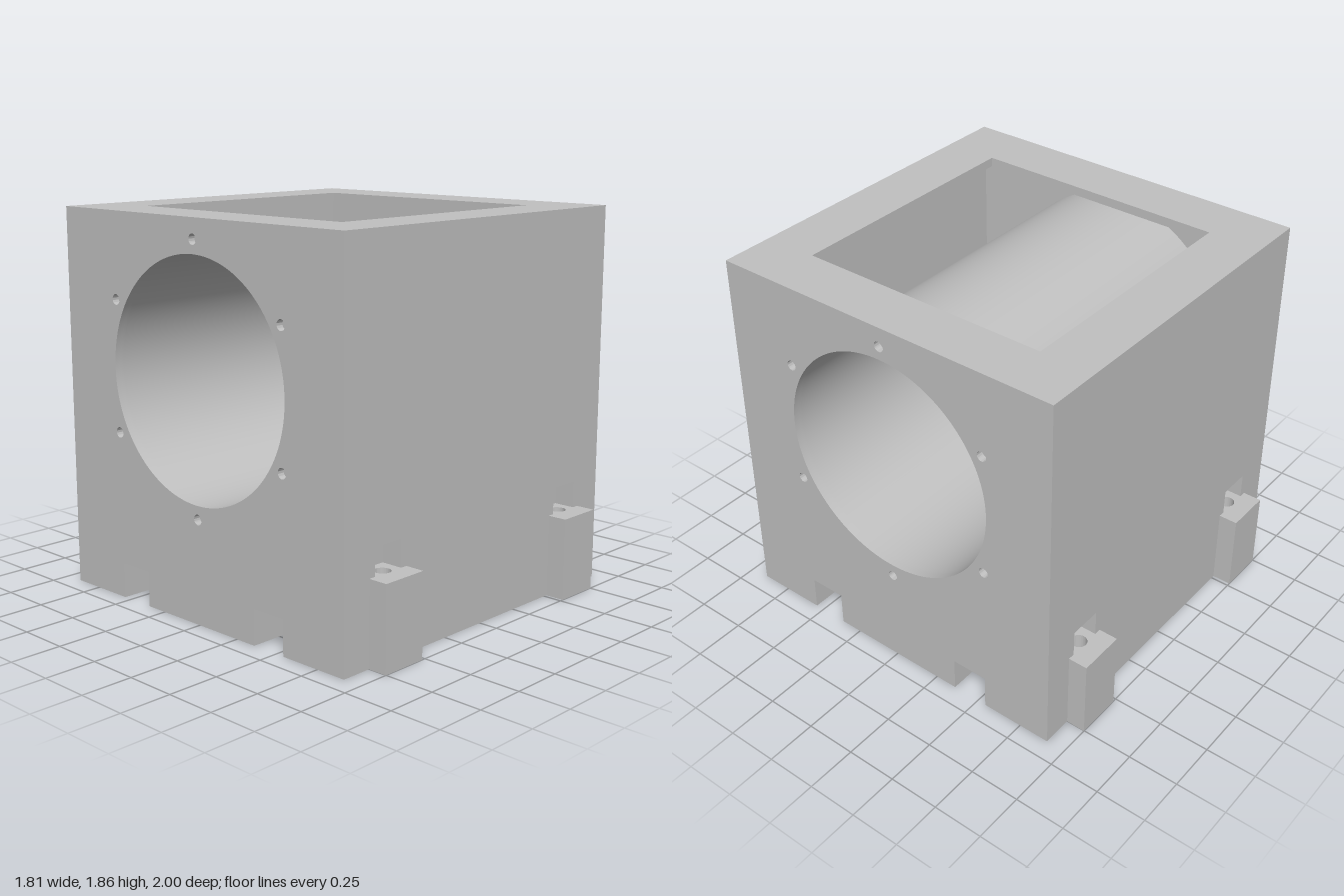
import * as THREE from 'three';
import { toCreasedNormals } from 'three/addons/utils/BufferGeometryUtils.js';

const HALF = 0.905, WALL = 0.045, TOP = 1.855;
const IN = HALF - WALL;                  // inner face of the walls
const BORE_Y = 1.13, BORE_R = 0.565;
const SLOT_IN = 0.362, SLOT_OUT = 0.545, SLOT_H = 0.17;
const FLOOR = SLOT_H + WALL;
const LUG_X = 0.635, STEM = 0.083, STEM_Z = 0.8, LUG_H = 0.4, POCKET_H = 0.53;

const poly = (pts) => new THREE.Shape(pts.map(([x, y]) => new THREE.Vector2(x, y)));
const circle = (x, y, r) => new THREE.Path().absarc(x, y, r, 0, Math.PI * 2, true);
const rect = (x, y) => poly([[-x, -y], [x, -y], [x, y], [-x, y]]);

function extrude(shape, depth, curveSegments = 48) {
  const g = new THREE.ExtrudeGeometry(shape, { depth, bevelEnabled: false, curveSegments });
  return toCreasedNormals(g, 0.6);
}
// plan outline drawn as (x, -z), raised from y0
const raise = (shape, y0, h, seg) => extrude(shape, h, seg).rotateX(-Math.PI / 2).translate(0, y0, 0);
const box = (w, h, d, x, y, z) => new THREE.BoxGeometry(w, h, d).translate(x, y, z);

export function createModel() {
  const model = new THREE.Group();
  model.name = 'bearingHousing';
  const metal = new THREE.MeshStandardMaterial({ color: 0xc0c0c0 });
  metal.name = 'grey metal';
  const add = (parent, name, geometry) => {
    const m = new THREE.Mesh(geometry, metal);
    m.name = name;
    parent.add(m);
  };

  // Top plate with square opening
  const lid = rect(HALF, HALF);
  lid.holes.push(rect(0.637, 0.637));
  add(model, 'topPlate', raise(lid, TOP - WALL, WALL));

  // Sleeve running through the hollow body
  const ring = new THREE.Shape().absarc(0, 0, 0.612, 0, Math.PI * 2, false);
  ring.holes.push(circle(0, 0, BORE_R));
  add(model, 'sleeve', extrude(ring, 2 * IN, 64).rotateY(Math.PI / 2).translate(-IN, BORE_Y, 0));

  // End plates: bore, slot openings and six blind screw holes
  const endShape = (screws) => {
    const s = poly([
      [-HALF, 0], [-SLOT_OUT, 0], [-SLOT_OUT, SLOT_H], [-SLOT_IN, SLOT_H], [-SLOT_IN, 0],
      [SLOT_IN, 0], [SLOT_IN, SLOT_H], [SLOT_OUT, SLOT_H], [SLOT_OUT, 0],
      [HALF, 0], [HALF, TOP - WALL], [-HALF, TOP - WALL],
    ]);
    s.holes.push(circle(0, BORE_Y, BORE_R));
    for (let i = 0; screws && i < 6; i++) {
      const a = Math.PI / 6 + i * Math.PI / 3;
      s.holes.push(circle(0.63 * Math.cos(a), BORE_Y + 0.63 * Math.sin(a), 0.025));
    }
    return s;
  };
  for (const side of [1, -1]) {
    const end = new THREE.Group();
    end.name = side > 0 ? 'leftEndPlate' : 'rightEndPlate';
    end.rotation.y = side * Math.PI / 2;
    add(end, 'endPlateInner', extrude(endShape(false), 0.01, 64).translate(0, 0, IN));
    add(end, 'endPlateOuter', extrude(endShape(true), 0.035, 64).translate(0, 0, IN + 0.01));
    model.add(end);
  }

  // Floor above the slots and the centre foot
  add(model, 'floor', box(2 * IN, WALL, 2 * SLOT_OUT, 0, SLOT_H + WALL / 2, 0));
  add(model, 'centreFoot', box(2 * IN, SLOT_H, 2 * SLOT_IN, 0, SLOT_H / 2, 0));

  // Front and back: wall, outer foot, clamp lugs and their pockets
  const L = LUG_X - STEM, R = LUG_X + STEM;
  for (const side of [1, -1]) {
    const half = new THREE.Group();
    half.name = side > 0 ? 'frontSide' : 'backSide';
    half.rotation.y = side > 0 ? 0 : Math.PI;
    model.add(half);

    const wall = poly([
      [-IN, 0], [-R, 0], [-R, POCKET_H], [-L, POCKET_H], [-L, 0],
      [L, 0], [L, POCKET_H], [R, POCKET_H], [R, 0],
      [IN, 0], [IN, TOP - WALL], [-IN, TOP - WALL],
    ]);
    add(half, 'wall', extrude(wall, WALL).translate(0, 0, IN));

    const foot = poly([
      [-IN, -IN], [-R, -IN], [-R, -STEM_Z], [-L, -STEM_Z], [-L, -IN],
      [L, -IN], [L, -STEM_Z], [R, -STEM_Z], [R, -IN],
      [IN, -IN], [IN, -SLOT_OUT], [-IN, -SLOT_OUT],
    ]);
    add(half, 'outerFoot', raise(foot, 0, FLOOR));

    for (const x of [-LUG_X, LUG_X]) {
      // T-shaped lug with a vertical bolt hole
      const lug = poly([
        [-0.117, -1], [0.117, -1], [0.117, -HALF], [STEM, -HALF],
        [STEM, -STEM_Z], [-STEM, -STEM_Z], [-STEM, -HALF], [-0.117, -HALF],
      ]);
      lug.holes.push(circle(0, -0.873, 0.039));
      add(half, 'clampLug', raise(lug, 0, LUG_H, 24).translate(x, 0, 0));

      // Pocket lining inside the wall
      const t = 0.02, h = POCKET_H - FLOOR, y = FLOOR + h / 2, d = IN - STEM_Z;
      add(half, 'pocketBack', box(2 * (STEM + t), h + t, t, x, y + t / 2, STEM_Z - t / 2));
      add(half, 'pocketTop', box(2 * (STEM + t), t, d, x, POCKET_H + t / 2, STEM_Z + d / 2));
      for (const s of [-1, 1]) {
        add(half, 'pocketSide', box(t, h, d, x + s * (STEM + t / 2), y, STEM_Z + d / 2));
      }
    }
  }
  return model;
}
